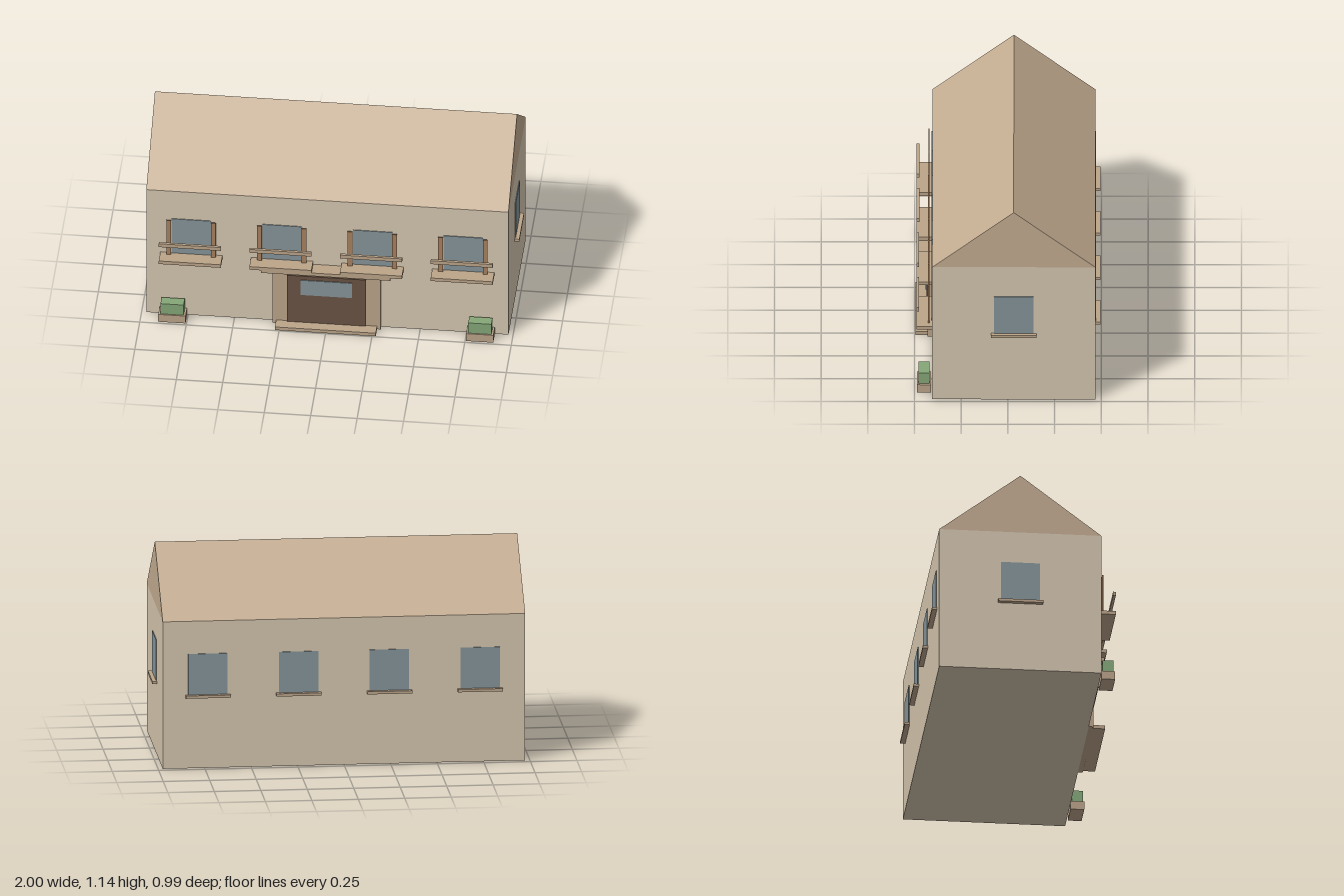
import * as THREE from 'three';

const paint = (color) => new THREE.MeshStandardMaterial({ color, flatShading: true });

export function createModel() {
  const wall = paint(0xd6c7b0), roofing = paint(0xc4ad92), trim = paint(0xbca58a);
  const glass = paint(0x86959a), wood = paint(0xa9825f), doorWood = paint(0x6b5444), leaf = paint(0x85a878);

  const house = new THREE.Group();
  house.name = 'house';

  // Box given by its extents on each axis
  function block(name, mat, [x0, x1], [y0, y1], [z0, z1], parent = house) {
    const mesh = new THREE.Mesh(new THREE.BoxGeometry(x1 - x0, y1 - y0, z1 - z0), mat);
    mesh.position.set((x0 + x1) / 2, (y0 + y1) / 2, (z0 + z1) / 2);
    mesh.name = name;
    parent.add(mesh);
    return mesh;
  }
  const around = (c, half) => [c - half, c + half];
  const group = (name) => {
    const g = new THREE.Group();
    g.name = name;
    house.add(g);
    return g;
  };

  const front = 0.405, back = -0.468, side = 0.975, eave = 0.81, midZ = -0.031;
  block('walls', wall, [-side, side], [0, eave], [back, front]);

  // Gabled roof: triangle extruded along x
  const gable = new THREE.Shape([
    new THREE.Vector2(-front, eave),
    new THREE.Vector2(-back, eave),
    new THREE.Vector2(-midZ, 1.145),
  ]);
  const roofGeo = new THREE.ExtrudeGeometry(gable, { depth: 2 * side, bevelEnabled: false });
  roofGeo.rotateY(Math.PI / 2).translate(-side, 0, 0);
  const roof = new THREE.Mesh(roofGeo, roofing);
  roof.name = 'roof';
  house.add(roof);

  // Four windows on the front and four on the back
  for (const x of [-0.732, -0.244, 0.244, 0.732]) {
    const f = group('frontWindow');
    block('pane', glass, around(x, 0.106), [0.405, 0.63], [front - 0.01, front + 0.004], f);
    block('balconySlab', trim, around(x, 0.167), [0.385, 0.405], [front, 0.49], f);
    block('balconyRail', trim, around(x, 0.167), [0.497, 0.519], [0.475, 0.49], f);
    for (const s of [-1, 1])
      block('shutter', wood, around(x + s * 0.12, 0.013), [0.405, 0.63], [0.42, 0.427], f);

    const b = group('backWindow');
    block('pane', glass, around(x, 0.106), [0.405, 0.63], [back - 0.004, back + 0.01], b);
    block('sill', trim, around(x, 0.121), [0.39, 0.405], [back - 0.027, back], b);
  }

  // One window on each gable end, and a planter at each front corner
  for (const s of [-1, 1]) {
    const span = (a, b) => (s > 0 ? [a, b] : [-b, -a]);
    const w = group(s > 0 ? 'leftWindow' : 'rightWindow');
    block('pane', glass, span(side - 0.01, side + 0.004), [0.405, 0.63], around(midZ, 0.105), w);
    block('sill', trim, span(side, 1), [0.39, 0.405], around(midZ, 0.121), w);

    const p = group('planter');
    block('pot', trim, span(0.755, 0.902), [0, 0.048], [0.412, 0.486], p);
    block('hedge', leaf, span(0.766, 0.891), [0.048, 0.115], [0.42, 0.479], p);
  }

  // Entrance with surround, canopy, door and step
  const entrance = group('entrance');
  block('surround', trim, [-0.293, 0.29], [0, 0.365], [front, 0.43], entrance);
  block('canopy', trim, [-0.35, 0.347], [0.365, 0.385], [front, 0.485], entrance);
  block('door', doorWood, [-0.214, 0.211], [0, 0.325], [0.43, 0.437], entrance);
  block('doorPane', glass, [-0.14, 0.137], [0.203, 0.3], [0.437, 0.441], entrance);
  block('step', trim, [-0.273, 0.27], [0, 0.02], [front, 0.495], entrance);

  return house;
}
